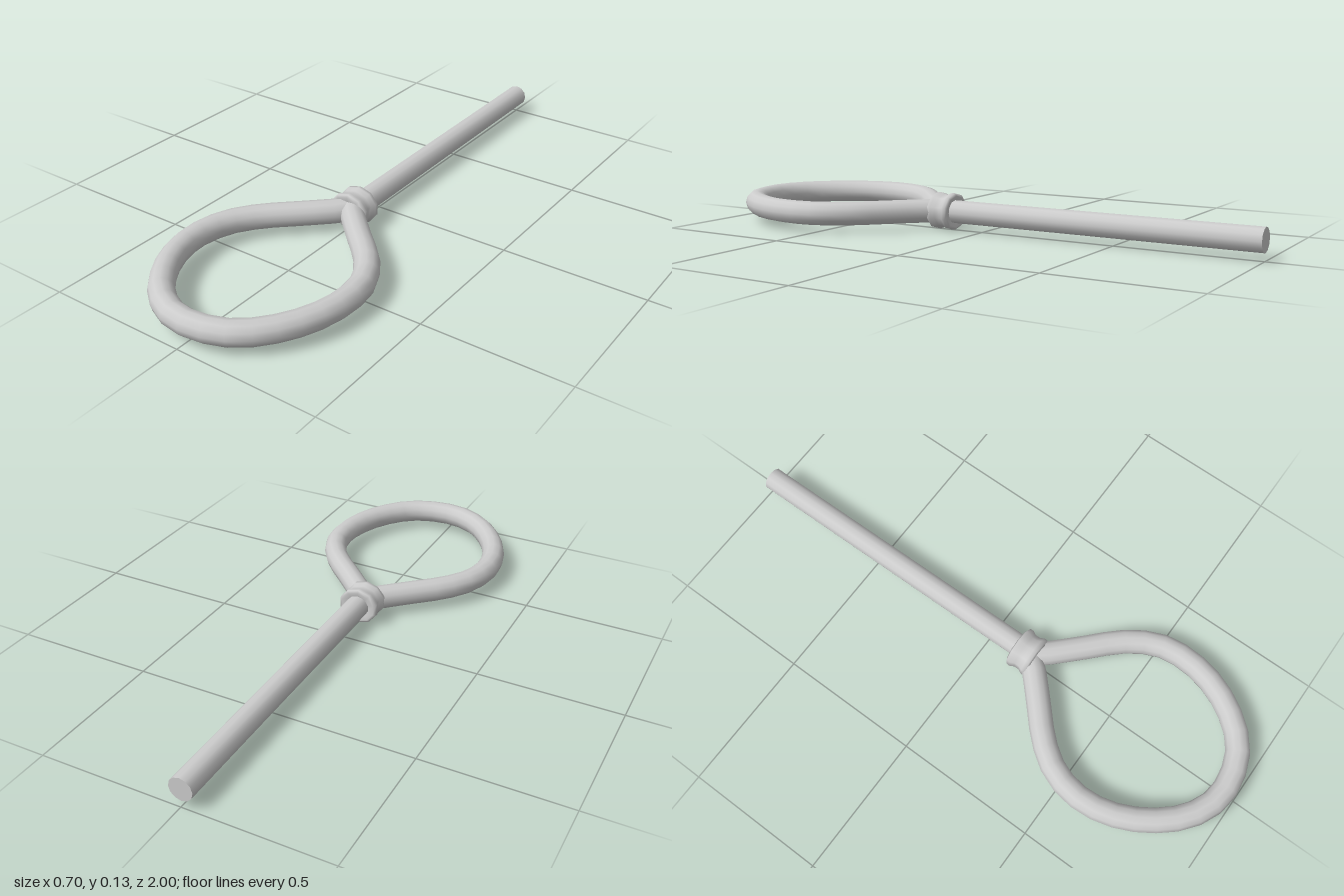
import * as THREE from 'three';

const material = new THREE.MeshStandardMaterial({ color: 0xcccccc });
const AXIS_Y = 0.067;

function part(name, geometry) {
  const mesh = new THREE.Mesh(geometry, material);
  mesh.name = name;
  return mesh;
}

export function createModel() {
  const group = new THREE.Group();
  group.name = 'loopedRod';

  // Straight rod, leaning very slightly in x
  const start = new THREE.Vector3(-0.004, AXIS_Y, -1);
  const end = new THREE.Vector3(0.004, AXIS_Y, 0.16);
  const dir = end.clone().sub(start);
  const rod = part('rod', new THREE.CylinderGeometry(0.041, 0.041, dir.length(), 12));
  rod.position.copy(start).add(end).multiplyScalar(0.5);
  rod.quaternion.setFromUnitVectors(new THREE.Vector3(0, 1, 0), dir.normalize());
  group.add(rod);

  // Teardrop loop, a little uneven from side to side (x, z of the centre line)
  const path = [
    [0.0, 0.155], [0.035, 0.2], [0.125, 0.29], [0.235, 0.4], [0.293, 0.5], [0.306, 0.6],
    [0.288, 0.71], [0.235, 0.82], [0.15, 0.91], [0.05, 0.948], [-0.05, 0.948],
    [-0.15, 0.9], [-0.24, 0.8], [-0.293, 0.69], [-0.309, 0.58], [-0.285, 0.47],
    [-0.225, 0.38], [-0.125, 0.285], [-0.035, 0.2], [0.0, 0.155],
  ].map(([x, z]) => new THREE.Vector3(x, AXIS_Y, z));
  const curve = new THREE.CatmullRomCurve3(path, false, 'centripetal');
  group.add(part('loop', new THREE.TubeGeometry(curve, 32, 0.042, 12, false)));

  // Collar with two rounded rims and a waist
  const profile = [
    [0.036, -0.036], [0.056, -0.042], [0.065, -0.037], [0.066, -0.024], [0.059, -0.009],
    [0.059, 0.009], [0.066, 0.024], [0.065, 0.037], [0.056, 0.042], [0.036, 0.036],
  ].map(([r, y]) => new THREE.Vector2(r, y));
  const collarGeometry = new THREE.LatheGeometry(profile, 10);
  collarGeometry.rotateX(Math.PI / 2);
  collarGeometry.scale(1.13, 1, 1);
  const collar = part('collar', collarGeometry);
  collar.position.set(0.001, AXIS_Y, 0.147);
  group.add(collar);

  return group;
}
